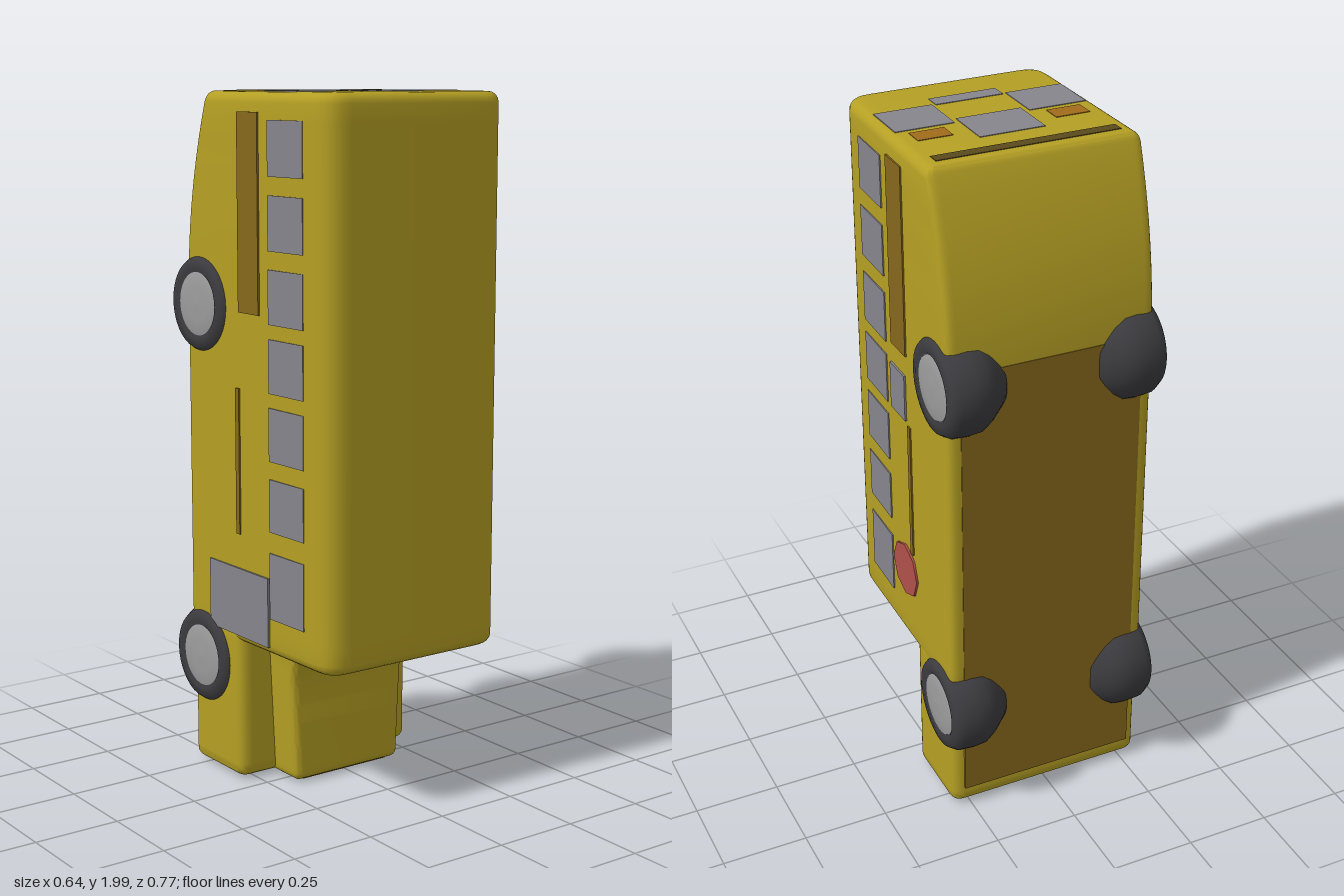
import * as THREE from 'three';
import { toCreasedNormals } from 'three/addons/utils/BufferGeometryUtils.js';

const mat = (color) => new THREE.MeshStandardMaterial({ color });
const YELLOW = mat(0xb5a024), OCHRE = mat(0x86681c), GLASS = mat(0x85858c), RED = mat(0xb0504a);
const TIRE = mat(0x3c3c40), HUB = mat(0x9c9c9c), DARK = mat(0x5a4a1c), ORANGE = mat(0xa06c1c);

// Rounded cross-section in x and z; rf rounds the roof corners, rb the floor corners
function section(w, zBack, zFront, rf, rb) {
  const s = new THREE.Shape(), t = -zFront, b = -zBack;
  s.moveTo(-w + rf, t);
  s.lineTo(w - rf, t);
  s.quadraticCurveTo(w, t, w, t + rf);
  s.lineTo(w, b - rb);
  s.quadraticCurveTo(w, b, w - rb, b);
  s.lineTo(-w + rb, b);
  s.quadraticCurveTo(-w, b, -w, b - rb);
  s.lineTo(-w, t + rf);
  s.quadraticCurveTo(-w, t, -w + rf, t);
  return s;
}

// Cross-section raised from y0 to y1 with softened ends, then reshaped by a rule
function loft(shape, y0, y1, bevel, rule) {
  const g = new THREE.ExtrudeGeometry(shape, {
    depth: y1 - y0 - 2 * bevel, steps: 30, curveSegments: 6,
    bevelThickness: bevel, bevelSize: bevel, bevelOffset: -bevel, bevelSegments: 4,
  });
  g.rotateX(-Math.PI / 2).translate(0, y0 + bevel, 0);
  const p = g.attributes.position, v = new THREE.Vector3();
  for (let i = 0; i < p.count; i++) {
    v.fromBufferAttribute(p, i);
    if (rule) rule(v);
    p.setXYZ(i, v.x, v.y, v.z);
  }
  return toCreasedNormals(g, 0.7);
}

export function createModel() {
  const root = new THREE.Group();
  const add = (name, geometry, material, x = 0, y = 0, z = 0) => {
    const m = new THREE.Mesh(geometry, material);
    m.name = name;
    m.position.set(x, y, z);
    root.add(m);
    return m;
  };
  const panel = (name, material, w, h, d, x, y, z) =>
    add(name, new THREE.BoxGeometry(w, h, d), material, x, y, z);

  // Cabin: the floor sweeps up toward the tail
  add('cabin', loft(section(0.308, -0.318, 0.383, 0.075, 0.03), 0.425, 1.99, 0.03, (v) => {
    const t = THREE.MathUtils.clamp((v.y - 1.45) / 0.52, 0, 1);
    if (v.z < 0) v.z *= 1 - 0.33 * t ** 1.9;
    v.x *= 1 - 0.025 * THREE.MathUtils.clamp(v.z / 0.38, 0, 1);
  }), YELLOW);

  // Nose: low fenders with a raised bonnet that flares into the cabin
  add('fenders', loft(section(0.305, -0.312, -0.05, 0.04, 0.04), 0.015, 0.47, 0.025), YELLOW);
  add('bonnet', loft(section(0.205, -0.25, 0.06, 0.025, 0.01), 0.012, 0.46, 0.02, (v) => {
    const t = THREE.MathUtils.clamp((v.y - 0.28) / 0.15, 0, 1);
    if (v.z > 0) v.z += 0.045 * t * t;
    v.x *= 0.9 + 0.1 * Math.min(v.y / 0.42, 1);
  }), YELLOW);

  // Underside and nose panels
  panel('underfloor', OCHRE, 0.54, 1.38, 0.008, 0, 0.76, -0.316);
  panel('grille', OCHRE, 0.3, 0.008, 0.2, 0, 0.012, -0.06);
  panel('bumper', DARK, 0.52, 0.012, 0.08, 0, 0.013, -0.235);

  // Windscreen halves
  for (const s of [-1, 1]) panel('windscreen', DARK, 0.24, 0.008, 0.17, s * 0.13, 0.425, 0.23);

  // Side windows, stripes and waist panels
  const rows = [1.84, 1.64, 1.44, 1.25, 1.06, 0.86, 0.63];
  for (const s of [-1, 1]) {
    rows.forEach((y, i) => {
      const w = panel('sideWindow', GLASS, 0.008, i === 6 ? 0.19 : 0.15, 0.16, s * 0.302, y, 0.185);
      w.rotation.y = s * -0.02;
    });
    panel('sideStripe', OCHRE, 0.006, 0.55, 0.1, s * 0.307, 1.66, 0.01);
    panel('rubRail', OCHRE, 0.006, 0.42, 0.018, s * 0.307, 0.96, -0.05);
  }
  panel('sidePanel', GLASS, 0.008, 0.14, 0.1, 0.307, 1.25, 0.02);
  panel('entryDoor', GLASS, 0.008, 0.2, 0.3, -0.307, 0.55, -0.05);

  // Round stop paddle on the left side
  const paddle = add('stopPaddle', new THREE.CylinderGeometry(0.085, 0.085, 0.01, 8), RED, 0.307, 0.67, 0);
  paddle.rotation.z = Math.PI / 2;

  // Tail windows, lamps and bumper
  for (const s of [-1, 1]) {
    panel('tailWindow', GLASS, 0.17, 0.008, 0.15, s * 0.195, 1.988, 0.13);
    panel('tailLamp', ORANGE, 0.1, 0.008, 0.06, s * 0.2, 1.988, 0.005);
  }
  panel('tailDoorWindow', GLASS, 0.19, 0.008, 0.15, 0, 1.988, 0.005);
  panel('tailUpperWindow', GLASS, 0.2, 0.008, 0.05, 0, 1.988, 0.225);
  panel('tailBumper', DARK, 0.53, 0.01, 0.035, 0, 1.987, -0.155);

  // Wheels: rounded tyre with a shallow domed hub
  const tire = [[0, 0.13], [0.085, 0.14], [0.125, 0.185], [0.143, 0.215], [0.146, 0.25],
    [0.143, 0.295], [0.128, 0.318], [0.1, 0.322], [0.085, 0.312], [0, 0.312]];
  const hub = [[0.095, 0.31], [0.09, 0.318], [0.05, 0.32], [0, 0.322]];
  const lathe = (pts) => new THREE.LatheGeometry(pts.map((p) => new THREE.Vector2(...p)), 36)
    .rotateZ(-Math.PI / 2);
  for (const y of [0.345, 1.39]) {
    for (const s of [-1, 1]) {
      for (const [name, pts, m] of [['tire', tire, TIRE], ['hub', hub, HUB]]) {
        add(name, lathe(pts), m, 0, y, -0.243).rotation.y = s > 0 ? 0 : Math.PI;
      }
    }
  }
  return root;
}
